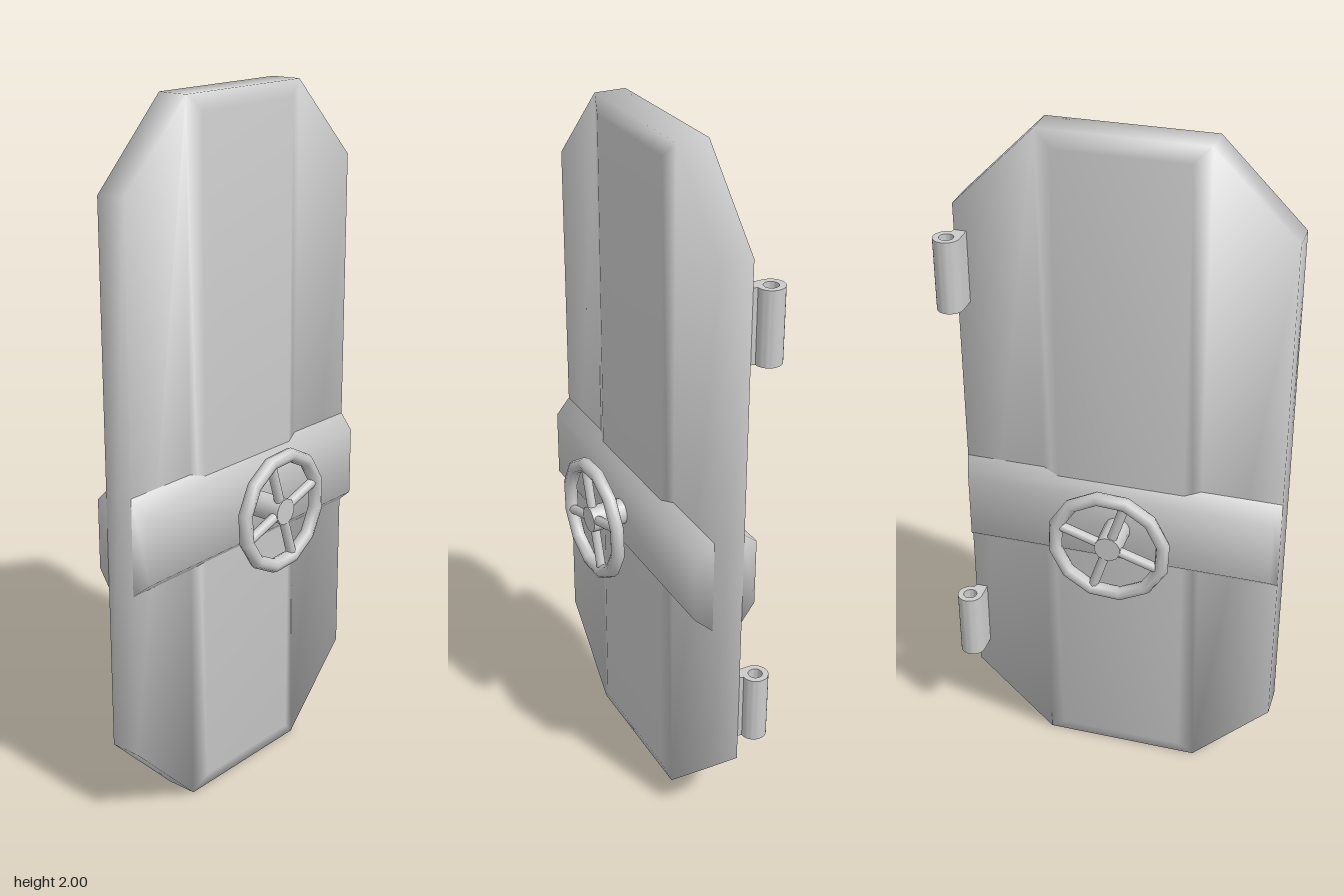
import * as THREE from 'three';
import { toCreasedNormals } from 'three/addons/utils/BufferGeometryUtils.js';

const grey = new THREE.MeshStandardMaterial({ color: 0xcccccc });
const CX = -0.02; // centre line of the door

function add(parent, name, geometry) {
  const mesh = new THREE.Mesh(geometry, grey);
  mesh.name = name;
  parent.add(mesh);
  return mesh;
}

// Smooth geometry from points and quads, normals weighted by corner angle
function smoothQuads(points, quads) {
  const p = points.map((a) => new THREE.Vector3(...a));
  const normals = p.map(() => new THREE.Vector3());
  const index = [];
  for (const q of quads) {
    index.push(q[0], q[1], q[2], q[0], q[2], q[3]);
    q.forEach((v, i) => {
      const a = p[q[(i + 1) % 4]].clone().sub(p[v]);
      const b = p[q[(i + 3) % 4]].clone().sub(p[v]);
      const angle = a.angleTo(b);
      normals[v].addScaledVector(a.cross(b).normalize(), angle);
    });
  }
  normals.forEach((n) => n.normalize());
  const g = new THREE.BufferGeometry();
  g.setAttribute('position', new THREE.Float32BufferAttribute(p.flatMap((v) => v.toArray()), 3));
  g.setAttribute('normal', new THREE.Float32BufferAttribute(normals.flatMap((v) => v.toArray()), 3));
  g.setIndex(index);
  return g;
}

// Mirror front points and quads to the back
function bothSides(points, quads) {
  const n = points.length;
  return [
    [...points, ...points.map(([x, y, z]) => [x, y, -z])],
    [...quads, ...quads.map((q) => q.map((i) => i + n).reverse())],
  ];
}

// Rectangle corners, counter-clockwise from lower right
const rect = (w, y0, y1, z) => [[CX + w, y0, z], [CX + w, y1, z], [CX - w, y1, z], [CX - w, y0, z]];

// Eight-sided slab with a raised, bevelled middle panel on each face
function doorGeometry() {
  const outline = [[0.23, 0], [0.46, 0.23], [0.46, 1.77], [0.23, 2], [-0.23, 2], [-0.46, 1.77], [-0.46, 0.23], [-0.23, 0]];
  const [points, quads] = bothSides(
    [...outline.map(([x, y]) => [CX + x, y, 0.045]), ...rect(0.184, 0.045, 1.955, 0.06)],
    [[0, 1, 2, 3], [4, 5, 6, 7], [8, 9, 10, 11], [0, 3, 9, 8], [3, 4, 10, 9], [4, 7, 11, 10], [7, 0, 8, 11]],
  );
  for (let i = 0; i < 8; i++) {
    const j = (i + 1) % 8;
    quads.push([i, i + 12, j + 12, j]);
  }
  return smoothQuads(points, quads);
}

// Bevelled cross band on each face
function bandGeometry() {
  const quads = [[4, 5, 6, 7]];
  for (let i = 0; i < 4; i++) {
    const j = (i + 1) % 4;
    quads.push([i, j, j + 4, i + 4]);
  }
  return smoothQuads(...bothSides([...rect(0.46, 0.71, 0.99, 0.045), ...rect(0.445, 0.75, 0.95, 0.092)], quads));
}

// Hinge barrel with a through hole and a short leaf towards the door
function hingeGeometry() {
  const cx = 0.442, cz = 0.094, r = 0.037;
  const shape = new THREE.Shape();
  shape.moveTo(cx - r, 0.04);
  shape.lineTo(cx - 0.004, 0.04);
  shape.lineTo(cx, cz - r);
  shape.absarc(cx, cz, r, -Math.PI / 2, Math.PI, false);
  shape.closePath();
  const hole = new THREE.Path();
  hole.absarc(cx, cz, 0.02, 0, Math.PI * 2, true);
  shape.holes.push(hole);
  const g = new THREE.ExtrudeGeometry(shape, { depth: 0.207, bevelEnabled: false, curveSegments: 12 });
  g.rotateX(-Math.PI / 2);
  return toCreasedNormals(g, 0.8);
}

// Handwheel: rim, two full-width bars and a hub shaft
function makeWheel(side) {
  const wheel = new THREE.Group();
  wheel.name = side > 0 ? 'frontWheel' : 'backWheel';
  add(wheel, 'rim', new THREE.TorusGeometry(0.16, 0.02, 8, 12));
  for (let i = 0; i < 2; i++) {
    add(wheel, 'spoke', new THREE.CylinderGeometry(0.014, 0.014, 0.31, 8)).rotation.z = i * Math.PI / 2;
  }
  const shaft = add(wheel, 'shaft', new THREE.CylinderGeometry(0.038, 0.038, 0.13, 12));
  shaft.rotation.x = Math.PI / 2;
  shaft.position.z = side * -0.05;
  wheel.rotation.z = THREE.MathUtils.degToRad(18);
  wheel.position.set(CX, 0.85, side * 0.18);
  return wheel;
}

export function createModel() {
  const model = new THREE.Group();
  model.name = 'vaultDoor';
  add(model, 'doorSlab', doorGeometry());
  add(model, 'crossBand', bandGeometry());
  for (const side of [1, -1]) model.add(makeWheel(side));
  for (const y of [0.312, 1.488]) add(model, 'hinge', hingeGeometry()).position.y = y;
  return model;
}
